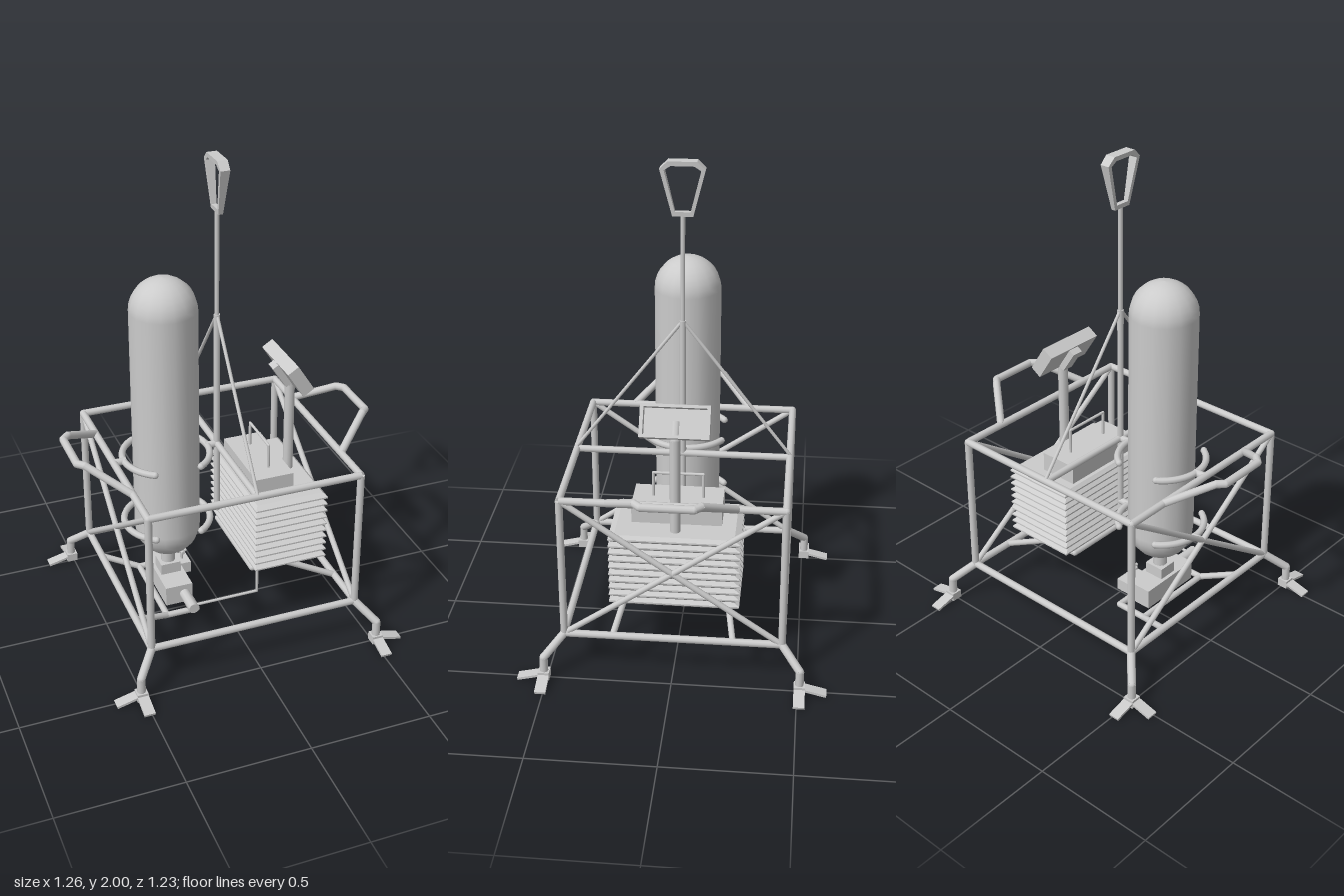
import * as THREE from 'three';

const mat = new THREE.MeshStandardMaterial({ color: 0xcccccc });
const flat = new THREE.MeshStandardMaterial({ color: 0xcccccc, flatShading: true });
const V = (p) => new THREE.Vector3(...p);

function add(parent, name, geo, pos = [0, 0, 0], material = mat) {
  const m = new THREE.Mesh(geo, material);
  m.name = name;
  m.position.set(...pos);
  parent.add(m);
  return m;
}

function box(parent, name, size, pos) {
  return add(parent, name, new THREE.BoxGeometry(...size), pos);
}

// Straight round bar between two points
function bar(parent, name, a, b, r) {
  const d = V(b).sub(V(a));
  const m = add(parent, name, new THREE.CylinderGeometry(r, r, d.length(), 10));
  m.position.copy(V(a)).addScaledVector(d, 0.5);
  m.quaternion.setFromUnitVectors(new THREE.Vector3(0, 1, 0), d.normalize());
  return m;
}

// Bent pipe: bars joined by round elbows
function pipe(parent, name, pts, r) {
  const g = new THREE.Group();
  g.name = name;
  parent.add(g);
  for (let i = 1; i < pts.length; i++) {
    bar(g, name + 'Bar', pts[i - 1], pts[i], r);
    if (i < pts.length - 1) add(g, name + 'Elbow', new THREE.SphereGeometry(r, 10, 6), pts[i]);
  }
  return g;
}

function buildFrame(root) {
  const g = new THREE.Group();
  g.name = 'frame';
  root.add(g);
  const X = 0.44, Z = 0.435, lo = 0.175, hi = 0.78, R = 0.015;
  for (const y of [lo, hi]) {
    pipe(g, 'frameRail', [[X, y, Z], [-X, y, Z], [-X, y, -Z], [X, y, -Z], [X, y, Z]], R);
  }
  bar(g, 'topCrossBeam', [0, hi, -Z], [0, hi, Z], 0.014);
  for (const s of [-1, 1]) {
    // Crossed braces and carrying handle on each side
    for (const t of [-1, 1]) bar(g, 'sideBrace', [s * X, lo, t * Z], [s * X, hi, -t * Z], 0.012);
    pipe(g, 'carryHandle', [[s * X, hi, 0.25], [s * 0.59, 0.87, 0.125], [s * 0.615, 0.87, 0.1],
      [s * 0.615, 0.87, -0.1], [s * 0.59, 0.87, -0.125], [s * X, hi, -0.25]], 0.016);
    for (const t of [-1, 1]) {
      bar(g, 'cornerPost', [s * X, lo, t * Z], [s * X, hi, t * Z], R);
      // Leg with two splayed toes
      pipe(g, 'leg', [[s * X, lo, t * Z], [s * 0.51, 0.1, t * 0.51], [s * 0.51, 0.02, t * 0.51]], 0.017);
      box(g, 'ankle', [0.045, 0.035, 0.045], [s * 0.51, 0.022, t * 0.51]);
      const toeX = box(g, 'toe', [0.115, 0.01, 0.045], [s * 0.56, 0.018, t * 0.51]);
      toeX.rotation.z = -s * 0.24;
      const toeZ = box(g, 'toe', [0.045, 0.01, 0.115], [s * 0.51, 0.018, t * 0.56]);
      toeZ.rotation.x = t * 0.24;
    }
  }
  // Cradles under the valve and under the bellows box
  pipe(g, 'valveCradle', [[-X, lo, 0.24], [-0.29, 0.12, 0.185], [-0.16, 0.12, 0.185],
    [-0.16, 0.12, -0.185], [-0.29, 0.12, -0.185], [-X, lo, -0.24]], 0.013);
  bar(g, 'valveCradleTie', [-0.29, 0.12, -0.185], [-0.29, 0.12, 0.185], 0.013);
  pipe(g, 'bellowsCradle', [[X, lo, 0.24], [0.22, 0.275, 0.2], [0.08, 0.275, 0.2],
    [0.08, 0.275, -0.2], [0.22, 0.275, -0.2], [X, lo, -0.24]], 0.013);
}

function buildMast(root) {
  const g = new THREE.Group();
  g.name = 'liftingMast';
  root.add(g);
  bar(g, 'lowerMast', [0, 0.462, 0], [0, 1.36, 0], 0.013);
  bar(g, 'upperMast', [0, 1.36, 0], [0, 1.8, 0], 0.009);
  for (const t of [-1, 1]) bar(g, 'stayCable', [0, 0.785, t * 0.44], [0, 1.36, 0], 0.007);
  // Lifting eye, wider towards the top
  const outline = (o, h, top, bot) => {
    const pts = [[-o[0], bot], [o[0], bot], [o[1], h], [o[2], top], [-o[2], top], [-o[1], h]];
    return pts.map((p) => new THREE.Vector2(...p));
  };
  const shape = new THREE.Shape(outline([0.04, 0.087, 0.055], 1.97, 2, 1.785));
  shape.holes.push(new THREE.Path(outline([0.03, 0.07, 0.045], 1.965, 1.982, 1.803)));
  const geo = new THREE.ExtrudeGeometry(shape, { depth: 1, bevelEnabled: false });
  geo.translate(0, 0, -0.5);
  const p = geo.attributes.position;
  for (let i = 0; i < p.count; i++) {
    p.setZ(i, p.getZ(i) * (0.018 + 0.024 * (p.getY(i) - 1.785) / 0.215));
  }
  geo.computeVertexNormals();
  add(g, 'liftingEye', geo, [0, 0, 0], flat).rotation.y = Math.PI / 2;
}

function buildTank(root) {
  const g = new THREE.Group();
  g.name = 'tankAssembly';
  g.position.x = -0.22;
  root.add(g);
  // Cylinder with domed ends
  const r = 0.135, prof = [];
  for (let i = 0; i <= 8; i++) {
    const a = -Math.PI / 2 + i * Math.PI / 16;
    prof.push(new THREE.Vector2(Math.max(0, r * Math.cos(a)), 0.45 + r * Math.sin(a)));
  }
  for (let i = 0; i <= 8; i++) {
    const a = i * Math.PI / 16;
    prof.push(new THREE.Vector2(Math.max(0, r * Math.cos(a)), 1.415 + r * Math.sin(a)));
  }
  add(g, 'tank', new THREE.LatheGeometry(prof, 16));
  // Clamp arcs on two levels, tied to the frame and the mast
  for (const y of [0.475, 0.78]) {
    for (const s of [-1, 1]) {
      const arc = add(g, 'clampArc', new THREE.TorusGeometry(0.177, 0.014, 8, 16, 2), [0, y, 0]);
      arc.rotation.set(Math.PI / 2, 0, (s > 0 ? 0 : Math.PI) - 1);
      bar(g, 'clampArm', [s * 0.17, y, 0], [s * 0.22, y, 0], 0.015);
      for (const t of [-1, 1]) {
        add(g, 'clampTip', new THREE.SphereGeometry(0.014, 8, 6),
          [s * 0.177 * Math.cos(1), y, t * 0.177 * Math.sin(1)]);
      }
    }
  }
  // Neck, valve body, actuator and tap
  bar(g, 'neck', [0, 0.24, 0], [0, 0.34, 0], 0.03);
  box(g, 'neckCollar', [0.085, 0.05, 0.08], [0, 0.24, 0]);
  box(g, 'valveBody', [0.115, 0.085, 0.28], [0, 0.175, 0]);
  bar(g, 'valveActuator', [0.023, 0.175, 0.13], [0.023, 0.175, 0.255], 0.022);
  box(g, 'tapBlock', [0.06, 0.05, 0.11], [0.083, 0.175, -0.085]);
  bar(g, 'tapStem', [0.085, 0.19, -0.07], [0.085, 0.24, -0.07], 0.006);
  bar(g, 'tapHandle', [0.085, 0.238, -0.092], [0.085, 0.238, -0.048], 0.007);
  bar(g, 'tapCross', [0.065, 0.238, -0.07], [0.105, 0.238, -0.07], 0.007);
  // Thin hose to the bellows box
  pipe(g, 'hose', [[0.023, 0.175, 0.23], [0.31, 0.175, 0.23], [0.31, 0.3, 0.23]], 0.006);
}

function buildBellows(root) {
  const g = new THREE.Group();
  g.name = 'bellowsAssembly';
  root.add(g);
  // Ribbed rectangular body: four-sided lathe with a zigzag profile
  const n = 10, y0 = 0.285, y1 = 0.6, step = (y1 - y0) / n;
  const prof = [new THREE.Vector2(0, y0)];
  const rib = (f, y) => prof.push(new THREE.Vector2(f * Math.SQRT2, y));
  for (let i = 0; i < n; i++) {
    const y = y0 + i * step;
    rib(0.91, y);
    rib(1, y + step * 0.4);
    rib(1, y + step * 0.6);
  }
  rib(0.91, y1);
  prof.push(new THREE.Vector2(0, y1));
  const geo = new THREE.LatheGeometry(prof, 4, Math.PI / 4);
  geo.scale(0.158, 1, 0.26);
  add(g, 'bellowsBody', geo, [0.228, 0, 0], flat);
  box(g, 'controlBox', [0.165, 0.085, 0.36], [0.183, 0.64, 0]);
  pipe(g, 'boxHandle', [[0.187, 0.67, 0.1], [0.187, 0.785, 0.1], [0.187, 0.785, -0.1], [0.187, 0.67, -0.1]], 0.006);
  pipe(g, 'displayPole', [[0.318, 0.59, 0], [0.318, 1, 0], [0.28, 1.06, 0]], 0.021);

  // Tilted display, its face looking along local +x
  const d = new THREE.Group();
  d.name = 'display';
  d.position.set(0.298, 1.065, 0);
  d.rotation.z = 0.57;
  g.add(d);
  box(d, 'displayBack', [0.012, 0.13, 0.27], [-0.01, 0, 0]);
  for (const s of [-1, 1]) {
    box(d, 'displayRim', [0.045, 0.012, 0.27], [0.015, s * 0.059, 0]);
    box(d, 'displayRim', [0.045, 0.13, 0.014], [0.015, 0, s * 0.128]);
  }
  box(d, 'displayBracket', [0.03, 0.11, 0.05], [-0.028, 0, 0]);
}

export function createModel() {
  const root = new THREE.Group();
  root.name = 'samplingLander';
  buildFrame(root);
  buildMast(root);
  buildTank(root);
  buildBellows(root);
  return root;
}
